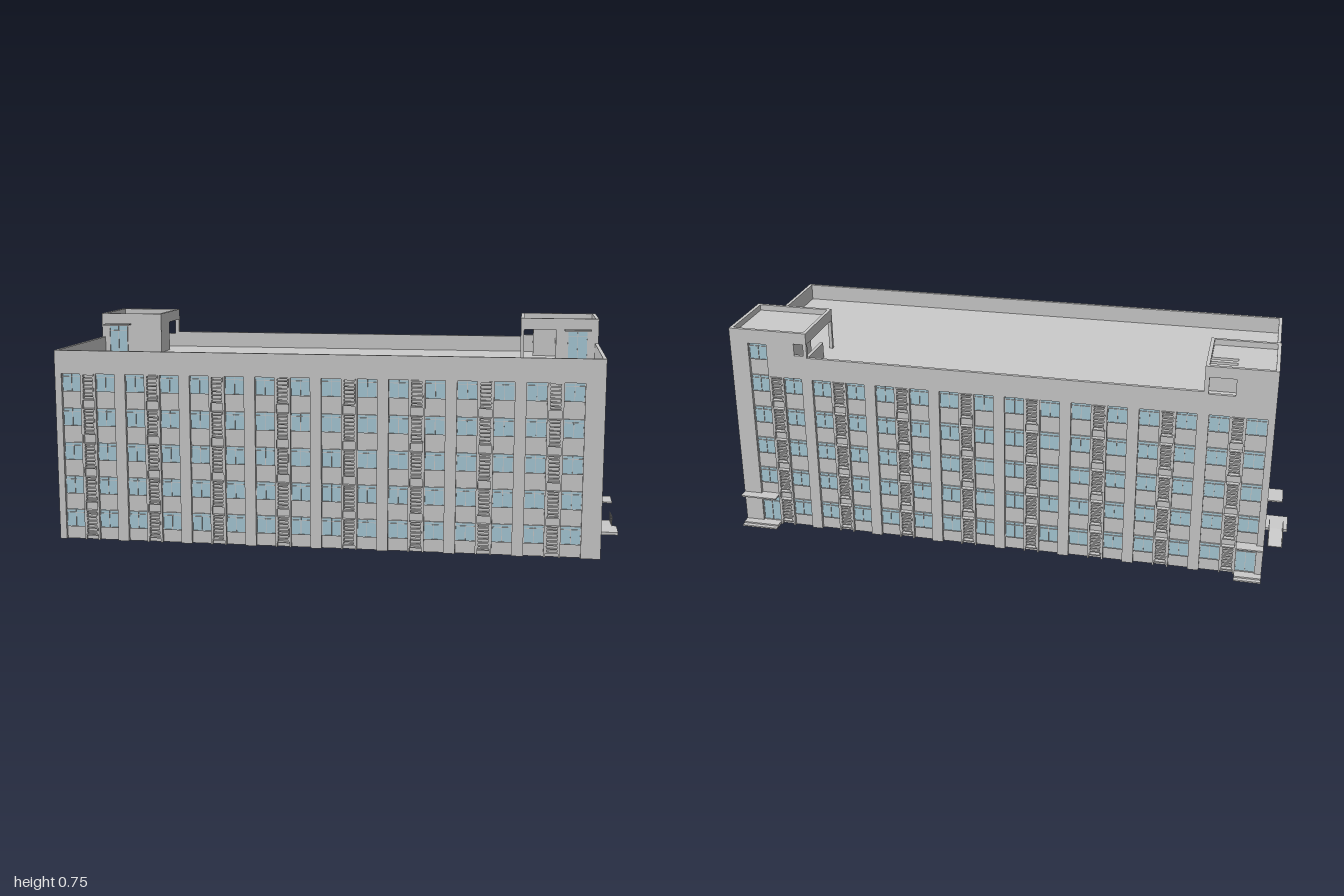
import * as THREE from 'three';
import { mergeGeometries } from 'three/addons/utils/BufferGeometryUtils.js';

const T = 0.012;                                   // facade panel thickness
const X = 0.92, ZF = 0.396, ZB = -0.357;           // outer wall planes
const DECK = 0.6, PARAPET = 0.657, TOWER = 0.745;
const FLOORS = [0.043, 0.16, 0.278, 0.397, 0.516]; // window sill heights
const WIN_H = 0.062;

const grey = new THREE.MeshStandardMaterial({ color: 0xcccccc });
const blue = new THREE.MeshStandardMaterial({ color: 0xa9cbd8 });

// box given by its minimum and maximum corners
function span(x0, x1, y0, y1, z0, z1) {
  return new THREE.BoxGeometry(x1 - x0, y1 - y0, z1 - z0)
    .translate((x0 + x1) / 2, (y0 + y1) / 2, (z0 + z1) / 2);
}

function addMesh(parent, name, geos, mat = grey) {
  const mesh = new THREE.Mesh(Array.isArray(geos) ? mergeGeometries(geos) : geos, mat);
  mesh.name = name;
  parent.add(mesh);
  return mesh;
}

// glazed unit with border, mullions and transom, standing on local z = 0
function glazing(set, c, w, y0, h) {
  const a = c - w / 2, b = c + w / 2, y1 = y0 + h, f = 0.002, d = 0.005;
  set.glass.push(span(a, b, y0, y1, -0.001, 0.002));
  set.frames.push(
    span(a, a + f, y0, y1, 0, d), span(b - f, b, y0, y1, 0, d),
    span(a, b, y0, y0 + f, 0, d), span(a, b, y1 - f, y1, 0, d),
    span(c - f / 2, c + f / 2, y0, y1, 0, d),
    span(a, b, y0 + h * 0.8, y0 + h * 0.8 + f, 0, d));
}

// louvred screen with projecting top and bottom ledges
function louvre(set, c, w, y0, y1) {
  const a = c - w / 2, b = c + w / 2, out = T + 0.004;
  set.louvres.push(
    span(a, b, y0, y0 + 0.004, 0, out), span(a, b, y1 - 0.004, y1, 0, out),
    span(a, a + 0.004, y0, y1, 0, T + 0.001), span(b - 0.004, b, y0, y1, 0, T + 0.001));
  for (let i = 1; i <= 6; i++) {
    const y = y0 + (y1 - y0) * i / 7;
    set.louvres.push(span(a, b, y - 0.002, y + 0.002, 0.004, T));
  }
}

// facade panel: stepped skyline, recessed strips open at the base, holes
function facade(name, skyline, columns, holes = []) {
  const g = new THREE.Group();
  g.name = name;
  const set = { glass: [], frames: [], louvres: [] };
  const sorted = [...columns].sort((p, q) => q.c - p.c);
  const pts = skyline.map(([u, y]) => new THREE.Vector2(u, y));
  pts.push(new THREE.Vector2(skyline.at(-1)[0], 0));
  for (const k of sorted) {
    const a = k.c - k.w / 2, b = k.c + k.w / 2;
    pts.push(new THREE.Vector2(b, 0), new THREE.Vector2(b, k.top),
      new THREE.Vector2(a, k.top), new THREE.Vector2(a, 0));
  }
  pts.push(new THREE.Vector2(skyline[0][0], 0));
  const shape = new THREE.Shape(pts);
  for (const [a, b, y0, y1] of holes) {
    shape.holes.push(new THREE.Path([[a, y0], [b, y0], [b, y1], [a, y1]].map(p => new THREE.Vector2(...p))));
  }
  addMesh(g, 'wallPanel', new THREE.ExtrudeGeometry(shape, { depth: T, bevelEnabled: false }));

  for (const k of columns) {
    FLOORS.forEach((y, i) => {
      if (k.louvre) louvre(set, k.c, k.w, y - 0.028, y + WIN_H);
      else if (k.door && i === 0) glazing(set, k.c, k.w, 0.01, 0.095);
      else glazing(set, k.c, k.w, y, WIN_H);
    });
    if (k.top > 0.65) glazing(set, k.c, k.w, 0.635, 0.06);
  }
  addMesh(g, 'windowGlass', set.glass, blue);
  addMesh(g, 'windowFrames', set.frames);
  if (set.louvres.length) addMesh(g, 'louvres', set.louvres);
  return g;
}

// window, louvre, window: repeated eight times along a long side
function longColumns() {
  const cols = [];
  for (let i = 0; i < 8; i++) {
    const c = -0.804 + i * 0.2238;
    cols.push({ c: c - 0.06, w: 0.066, top: 0.578 }, { c, w: 0.042, top: 0.578, louvre: true },
      { c: c + 0.06, w: 0.066, top: 0.578 });
  }
  return cols;
}

function flip(cols) { return cols.map(k => ({ ...k, c: -k.c })); }

// side entrance: landing, canopy and a railed ramp; s is the side in x
function sideEntrance(s) {
  const g = new THREE.Group();
  g.name = s > 0 ? 'leftEntrance' : 'rightEntrance';
  const sx = (a, b, ...r) => span(Math.min(s * a, s * b), Math.max(s * a, s * b), ...r);
  addMesh(g, 'landing', sx(X - T, 1, 0, 0.01, -0.03, 0.068));
  addMesh(g, 'canopy', sx(X - T, 0.975, 0.114, 0.119, -0.025, 0.068));
  const ramp = new THREE.Shape([[0.03, 0], [0.145, 0], [0.145, 0.002], [0.03, 0.01]].map(p => new THREE.Vector2(...p)));
  addMesh(g, 'ramp', new THREE.ExtrudeGeometry(ramp, { depth: 0.05, bevelEnabled: false })
    .rotateY(Math.PI / 2).translate(s * 0.96 - 0.025, 0, 0));
  const rails = [];
  for (const x of [0.936, 0.984]) {
    for (let i = 0; i <= 12; i++) {
      const z = -0.027 - i * 0.0096, top = 0.041 - i * 0.0007;
      rails.push(sx(x - 0.001, x + 0.001, 0, top, z - 0.001, z + 0.001));
    }
    rails.push(new THREE.BoxGeometry(0.003, 0.003, 0.118).rotateX(-0.073).translate(s * x, 0.037, -0.085));
  }
  addMesh(g, 'railings', rails);
  return g;
}

// rear entrance between two x positions
function rearEntrance(a, b) {
  const g = new THREE.Group();
  g.name = 'rearEntrance';
  addMesh(g, 'steps', [span(a, b, 0, 0.01, -0.385, ZB + T), span(a, b, 0, 0.005, -0.4, -0.385)]);
  addMesh(g, 'canopy', span(a, b, 0.114, 0.119, -0.39, ZB + T));
  return g;
}

// door and canopy leading on to the roof
function roofDoor(c) {
  const g = new THREE.Group(), set = { glass: [], frames: [] };
  g.name = 'roofDoor';
  glazing(set, c, 0.07, DECK, 0.1);
  addMesh(g, 'doorGlass', set.glass, blue);
  addMesh(g, 'doorFrame', set.frames);
  addMesh(g, 'canopy', span(c - 0.047, c + 0.047, 0.703, 0.707, 0, 0.04));
  g.position.z = -0.1;
  return g;
}

export function createModel() {
  const model = new THREE.Group();
  const xi = X - T, zf = ZF - T, zb = ZB + T, zt = -0.1;
  const xl = -0.69, xr = 0.645;                    // inner sides of the stair towers
  addMesh(model, 'buildingCore', span(-xi, xi, 0, DECK, zb, zf));

  // front
  const front = facade('frontFacade', [[-X, PARAPET], [X, PARAPET]], longColumns());
  front.position.z = zf;
  model.add(front);

  // back, seen from behind so x is reversed
  const backCols = longColumns();
  backCols[0].door = true;
  backCols[23].door = true;
  backCols[23].top = 0.695;
  const back = facade('backFacade',
    [[-X, TOWER], [-xr, TOWER], [-xr, PARAPET], [-xl, PARAPET], [-xl, TOWER], [X, TOWER]],
    flip(backCols), [[0.705, 0.79, 0.65, 0.708], [-0.69, -0.657, 0.663, 0.705]]);
  back.rotation.y = Math.PI;
  back.position.z = zb;
  model.add(back);

  // ends
  const endCols = [[0.31, 0.052], [0.215, 0.052], [0.108, 0.054], [0.022, 0.062], [-0.071, 0.054],
    [-0.182, 0.052], [-0.282, 0.052]].map(([c, w]) => ({ c, w, top: c < -0.1 ? 0.695 : 0.578, door: c === 0.022 }));
  const skyline = [[zb, TOWER], [zt, TOWER], [zt, PARAPET], [zf, PARAPET]];
  for (const s of [1, -1]) {
    const line = s > 0 ? skyline.map(([z, y]) => [-z, y]).reverse() : skyline;
    const end = facade(s > 0 ? 'leftFacade' : 'rightFacade', line, s > 0 ? flip(endCols) : endCols);
    end.rotation.y = s * Math.PI / 2;
    end.position.x = s * xi;
    model.add(end, sideEntrance(s));
  }
  model.add(rearEntrance(-X, -0.83), rearEntrance(0.79, X));

  // right stair tower: corner porch at the back under a slotted roof
  addMesh(model, 'rightTowerRoom', [
    span(-xi, -0.79, DECK, 0.725, zb, zt), span(-0.79, xl, DECK, 0.725, -0.21, zt)]);
  const roof = new THREE.Shape([[-0.79, 0.21], [xl, 0.21], [xl, -zb], [-0.79, -zb]].map(p => new THREE.Vector2(...p)));
  for (const z of [0.225, 0.262, 0.3]) {
    roof.holes.push(new THREE.Path([[-0.79, z], [-0.7, z], [-0.7, z + 0.018], [-0.79, z + 0.018]]
      .map(([x, y]) => new THREE.Vector2(Math.max(x, -0.788), y))));
  }
  addMesh(model, 'slottedRoof', new THREE.ExtrudeGeometry(roof, { depth: 0.017, bevelEnabled: false })
    .rotateX(-Math.PI / 2).translate(0, 0.708, 0));
  addMesh(model, 'rightTowerParapet', [
    span(-xi, xl, 0.725, TOWER, zt - T, zt), span(xl - T, xl, 0.706, TOWER, zb, zt - T)]);

  // left stair tower: open porch at the front inner corner
  addMesh(model, 'leftTowerRoom', [
    span(0.77, xi, DECK, 0.705, zb, zt), span(0.69, 0.77, DECK, 0.705, zb, -0.2)]);
  addMesh(model, 'leftTowerRoof', span(xr, xi, 0.705, 0.725, zb, zt));
  addMesh(model, 'leftTowerParapet', [
    span(xr, xi, 0.725, TOWER, zt - T, zt), span(xr, xr + T, 0.725, TOWER, zb, zt - T)]);
  addMesh(model, 'porchPost', span(xr, xr + T, DECK, 0.705, zt - T, zt));
  addMesh(model, 'porchLowWall', span(xr, xr + T, DECK, 0.655, zb, -0.2));

  model.add(roofDoor(-0.855), roofDoor(0.847));
  return model;
}
